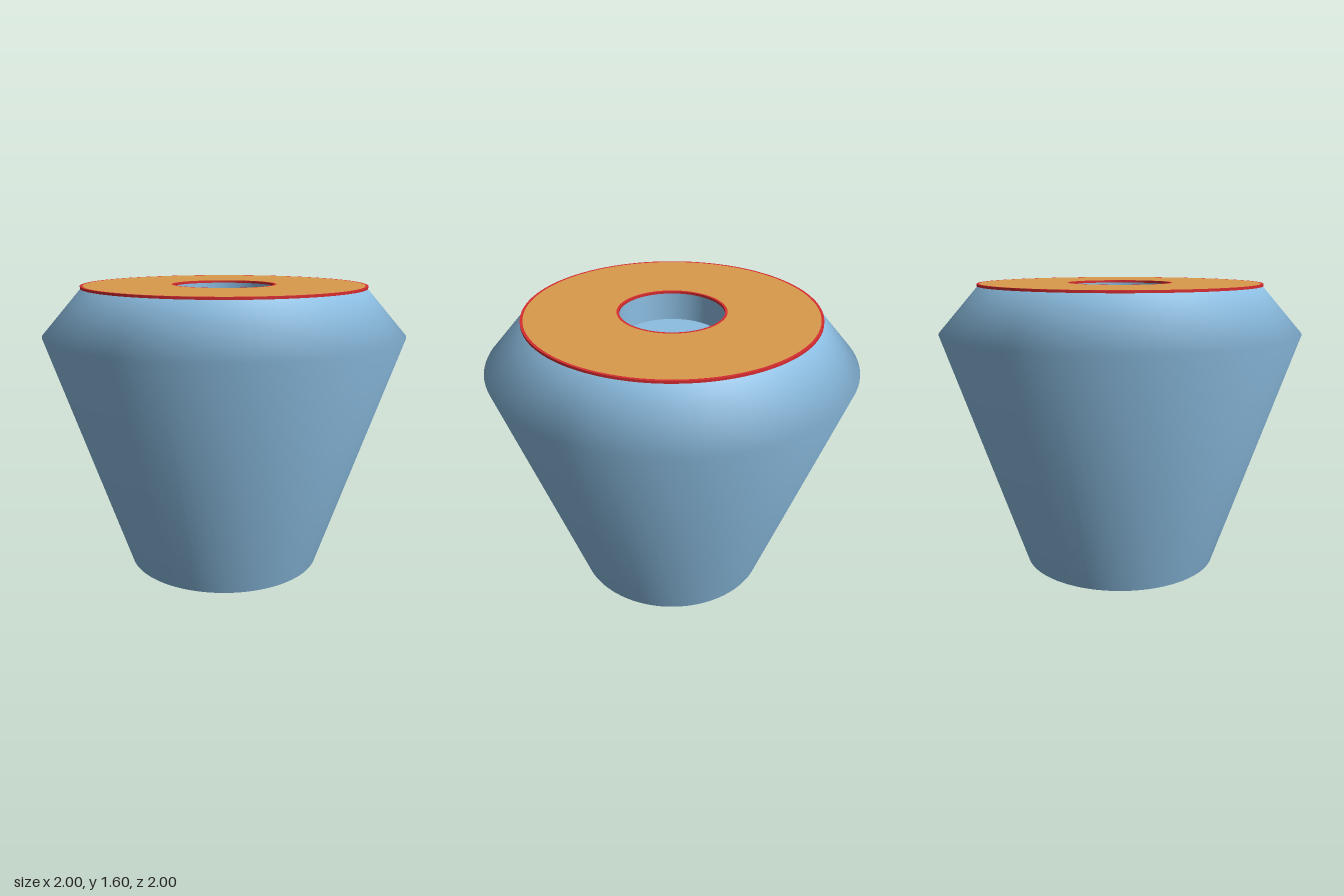
import * as THREE from 'three';

const SEGMENTS = 96;

// Colours
const blue = new THREE.MeshStandardMaterial({ color: 0x8cbee2 });
blue.name = 'blue';
const ochre = new THREE.MeshStandardMaterial({ color: 0xda9a4b });
ochre.name = 'ochre';
const red = new THREE.MeshStandardMaterial({ color: 0xd62c30 });
red.name = 'red';

// Revolve a short [radius, height] profile; rising profiles face outward
function revolve(name, points, material) {
  const profile = points.map(([r, y]) => new THREE.Vector2(r, y));
  const mesh = new THREE.Mesh(new THREE.LatheGeometry(profile, SEGMENTS), material);
  mesh.name = name;
  return mesh;
}

// Thin square-section band: outer wall, top face and inner wall, kept crisp
function band(name, inner, outer, bottom, top) {
  const group = new THREE.Group();
  group.name = name;
  group.add(
    revolve(name + 'Outside', [[outer, bottom], [outer, top]], red),
    revolve(name + 'Top', [[outer, top], [inner, top]], red),
    revolve(name + 'Inside', [[inner, top], [inner, bottom]], red),
    revolve(name + 'Underside', [[inner, bottom], [outer, bottom]], red)
  );
  return group;
}

export function createModel() {
  const model = new THREE.Group();
  model.name = 'taperedPot';

  const top = 1.6, lip = 1.587, floor = 1.435;
  const rim = 0.787, hole = 0.278;

  // Body: base disc and tapered side with a soft shoulder
  model.add(
    revolve('base', [[0, 0], [0.555, 0]], blue),
    revolve('side', [[0.555, 0], [1, 1.337], [rim - 0.005, lip]], blue)
  );

  // Shallow round recess in the top
  model.add(
    revolve('recessWall', [[hole, lip], [hole, floor]], blue),
    revolve('recessFloor', [[hole, floor], [0, floor]], blue)
  );

  // Flat top face with a thin band along each edge
  model.add(
    revolve('topFace', [[0.773, top], [0.291, top]], ochre),
    band('outerBand', 0.773, rim, lip, top),
    band('innerBand', hole, 0.291, lip, top)
  );

  return model;
}
